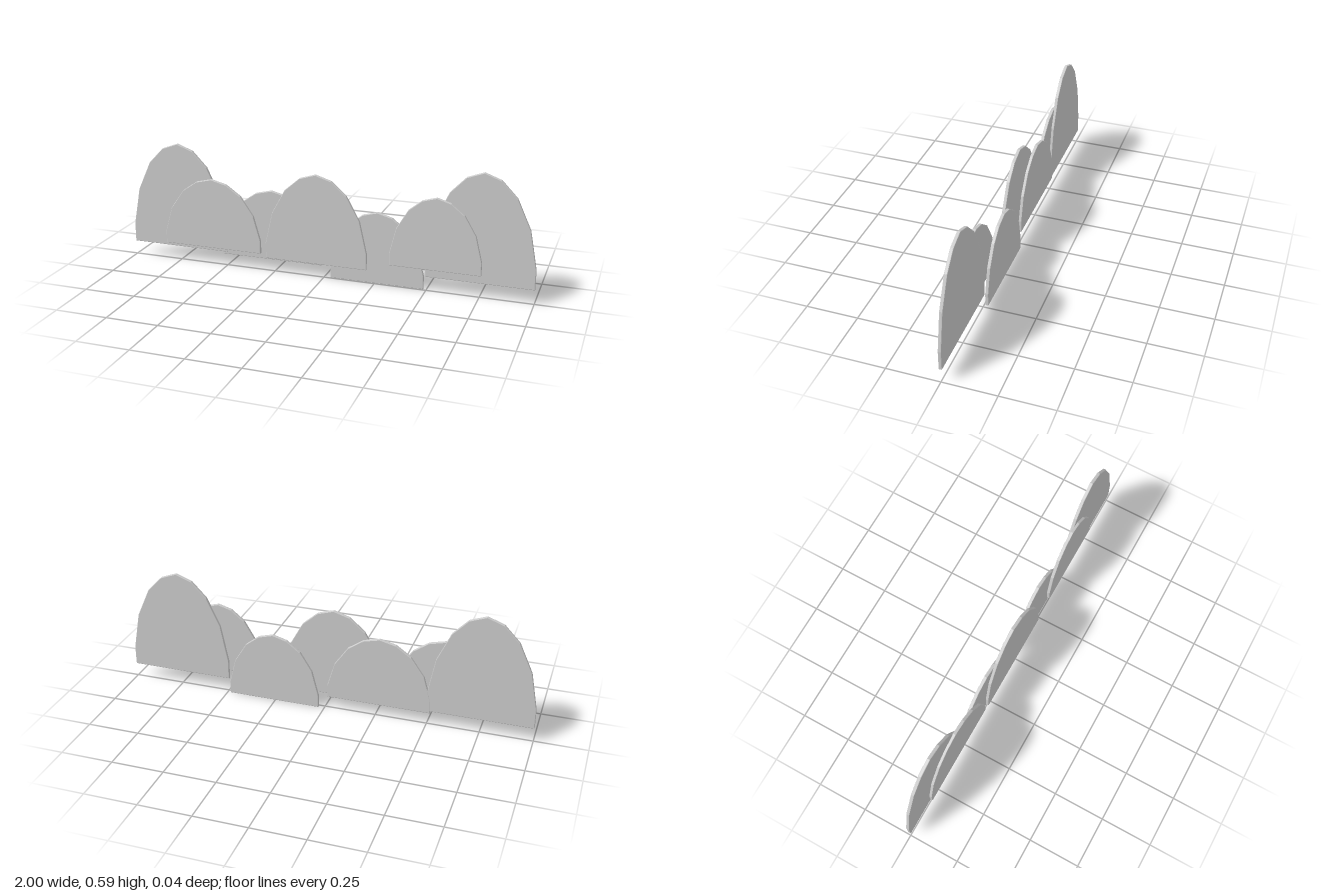
import * as THREE from 'three';

const THICKNESS = 0.016;
const BEVEL = 0.003;

// Half of the dome outline, as fractions of half width and height
const PROFILE = [[1, 0], [1, 0.18], [0.86, 0.53], [0.6, 0.8], [0.31, 0.945]];

// Flat dome-shaped panel with slightly softened rims
function domePanel(halfWidth, height) {
  const mirrored = PROFILE.map(([u, v]) => [-u, v]).reverse();
  const points = [...PROFILE, [0, 1], ...mirrored]
    .map(([u, v]) => new THREE.Vector2(u * halfWidth, v * height));
  const geometry = new THREE.ExtrudeGeometry(new THREE.Shape(points), {
    depth: THICKNESS - 2 * BEVEL,
    bevelEnabled: true,
    bevelThickness: BEVEL,
    bevelSize: BEVEL,
    bevelOffset: -BEVEL,
    bevelSegments: 2,
  });
  geometry.translate(0, 0, BEVEL - THICKNESS / 2);
  return geometry;
}

export function createModel() {
  const group = new THREE.Group();
  const material = new THREE.MeshStandardMaterial({ color: 0xcccccc, flatShading: true });

  // name, left edge, right edge, bottom, top, centre depth
  const panels = [
    ['tallBushRight', -1, -0.495, 0.07, 0.595, 0],
    ['tallBushLeft', 0.495, 1, 0.07, 0.595, 0],
    ['frontBushRight', -0.82, -0.318, 0.087, 0.437, 0.013],
    ['frontBushCentre', -0.29, 0.215, 0.07, 0.512, 0.013],
    ['frontBushLeft', 0.325, 0.757, 0.11, 0.46, 0.013],
    ['middleBush', -0.515, -0.012, 0.06, 0.407, -0.001],
    ['rearBush', 0.03, 0.485, 0, 0.352, -0.0125],
  ];

  for (const [name, x0, x1, y0, y1, z] of panels) {
    const bush = new THREE.Mesh(domePanel((x1 - x0) / 2, y1 - y0), material);
    bush.name = name;
    bush.position.set((x0 + x1) / 2, y0, z);
    group.add(bush);
  }
  return group;
}
